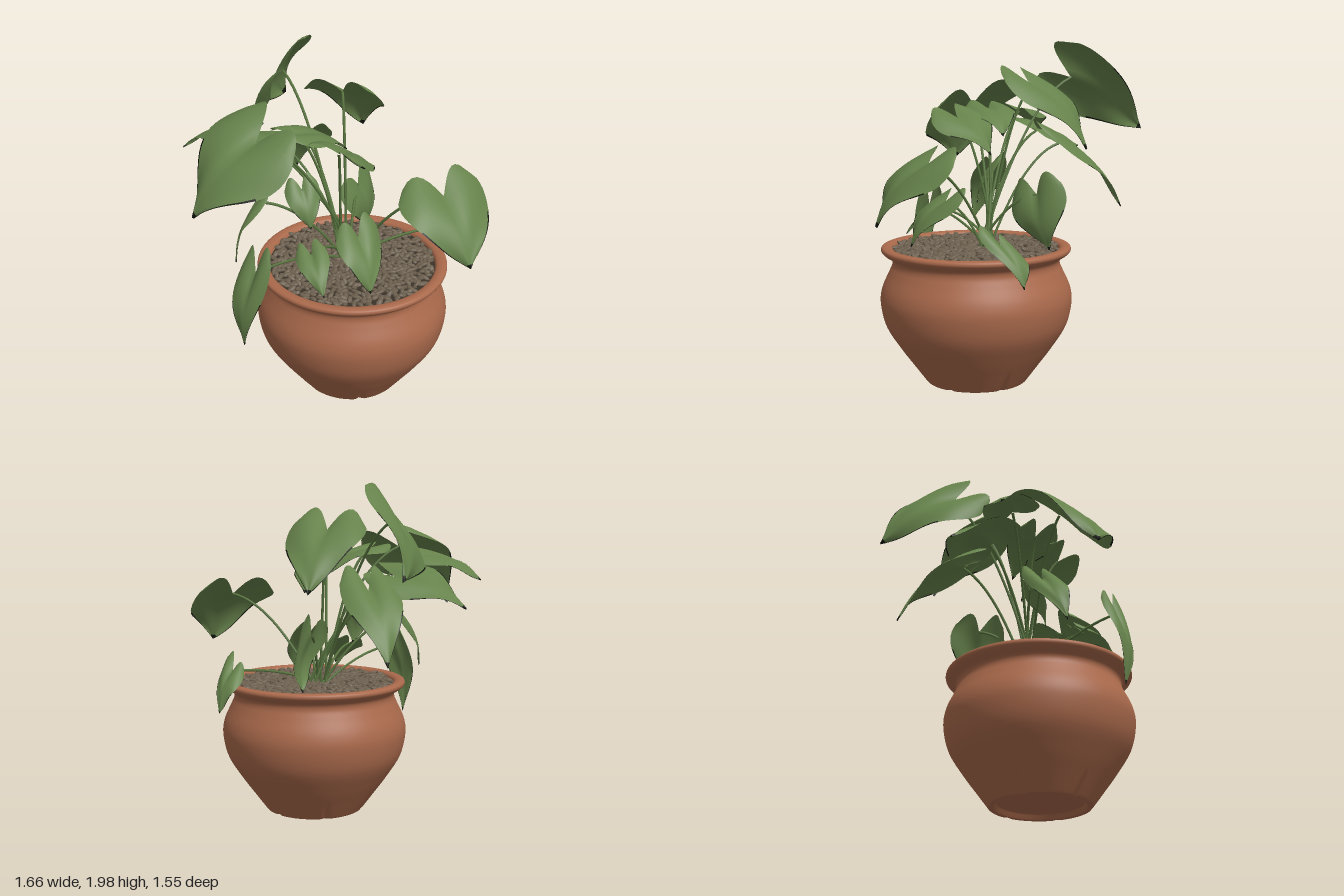
import * as THREE from 'three';
import { mergeGeometries } from 'three/addons/utils/BufferGeometryUtils.js';

const V = (a) => new THREE.Vector3(...a);
const POT_X = 0.11, POT_Z = 0.22;

function seeded(seed) {
  return () => {
    seed = (seed * 16807) % 2147483647;
    return seed / 2147483647;
  };
}

function material(name, color, side = THREE.FrontSide) {
  const m = new THREE.MeshStandardMaterial({ color, side });
  m.name = name;
  return m;
}

// Heart-shaped blade: base is the stem joint, side is the half width vector.
// Group 0 is the blade, group 1 the withered margin towards the tip.
const WIDTHS = [0.74, 0.95, 1.0, 0.97, 0.87, 0.72, 0.54, 0.35, 0.16, 0.0];
function leafGeometry(base, tip, side) {
  const along = tip.clone().sub(base);
  const len = along.length(), wide = side.length();
  const normal = new THREE.Vector3().crossVectors(along, side).normalize();
  let flip = 1;
  if (normal.y < 0) { normal.negate(); flip = -1; }
  const rows = 20, cols = 16, pos = [], blade = [], margin = [];
  for (let i = 0; i <= rows; i++) {
    const t = i / rows, f = t * (WIDTHS.length - 1), k = Math.min(Math.floor(f), WIDTHS.length - 2);
    const w = THREE.MathUtils.lerp(WIDTHS[k], WIDTHS[k + 1], f - k);
    for (let j = 0; j <= cols; j++) {
      const s = THREE.MathUtils.clamp((j - cols / 2) / (cols / 2 - 1) * 0.96, -1, 1), a = Math.abs(s);
      const back = 0.36 * (1 - t) ** 2 * Math.sin(a * 2.4);
      const lift = len * 0.13 * Math.sin(Math.PI * t)
        + wide * w * (0.16 * a - 0.32 * a * a)
        + wide * 0.08 * a * a * Math.sin(t * 8 + s * 2);
      const p = base.clone()
        .addScaledVector(along, t - back)
        .addScaledVector(side, s * w)
        .addScaledVector(normal, lift);
      pos.push(p.x, p.y, p.z);
      if (i < rows && j < cols) {
        const q = i * (cols + 1) + j, r = q + cols + 1;
        const atEdge = (j === 0 || j === cols - 1) && i > rows * 0.4;
        const index = atEdge || i === rows - 1 ? margin : blade;
        if (flip > 0) index.push(q, r, q + 1, r, r + 1, q + 1);
        else index.push(q, q + 1, r, r, q + 1, r + 1);
      }
    }
  }
  const g = new THREE.BufferGeometry();
  g.setAttribute('position', new THREE.Float32BufferAttribute(pos, 3));
  g.setIndex([...blade, ...margin]);
  g.addGroup(0, blade.length, 0);
  g.addGroup(blade.length, margin.length, 1);
  g.computeVertexNormals();
  return g;
}

// Each leaf: stem joint, tip, half width vector
const LEAVES = [
  [[-0.21, 1.77, -0.35], [-0.16, 1.47, -0.77], [0.17, 0.19, -0.09]],
  [[0.1, 1.72, -0.1], [0.28, 1.38, -0.41], [0.2, 0, 0.12]],
  [[-0.43, 1.6, 0.25], [-0.8, 1.24, 0.38], [0.13, -0.08, 0.28]],
  [[-0.3, 1.44, -0.14], [-0.64, 1.28, -0.4], [0.14, -0.07, -0.16]],
  [[-0.5, 1.55, -0.04], [-0.82, 1.42, -0.15], [-0.05, 0.03, 0.15]],
  [[-0.1, 1.38, -0.27], [-0.11, 1.0, -0.65], [0.17, 0, 0]],
  [[0.57, 1.31, 0.47], [0.67, 1.0, 0.74], [0.26, 0, -0.12]],
  [[-0.48, 0.95, 0.53], [-0.56, 0.5, 0.56], [0.08, 0.02, 0.07]],
  [[0.63, 0.89, 0.08], [0.73, 0.67, -0.05], [0.03, 0.05, 0.11]],
  [[-0.4, 1.18, 0.15], [-0.57, 0.86, 0.25], [0.05, 0.03, -0.11]],
  [[0.11, 1.05, 0.4], [0.15, 0.8, 0.6], [0.13, 0.01, -0.09]],
  [[-0.2, 1.58, 0.15], [0.1, 1.44, 0.06], [0.05, 0, 0.14]],
  [[0.01, 1.54, 0.33], [0.19, 1.34, 0.13], [0.14, -0.03, 0.13]],
  [[-0.17, 1.23, 0.12], [-0.13, 1.02, 0.22], [0.1, 0.02, -0.02]],
  [[-0.16, 0.98, 0.44], [-0.12, 0.83, 0.65], [0.09, 0.02, 0]],
  [[0.2, 1.11, -0.13], [0.27, 0.8, -0.2], [0.1, 0.05, -0.15]],
];

function pebblesGeometry() {
  const rnd = seeded(4271), parts = [], count = 680;
  const ball = new THREE.SphereGeometry(1, 8, 5);
  for (let i = 0; i < count; i++) {
    const r = 0.475 * Math.sqrt((i + 0.5) / count), a = i * 2.39996 + rnd() * 0.1;
    const o = new THREE.Object3D();
    o.position.set(r * Math.cos(a), 0.782 + rnd() * 0.008, r * Math.sin(a));
    o.rotation.set((rnd() - 0.5) * 0.8, rnd() * Math.PI, (rnd() - 0.5) * 0.8);
    o.scale.set(0.026 + rnd() * 0.009, 0.012, 0.014 + rnd() * 0.004);
    o.updateMatrix();
    parts.push(ball.clone().applyMatrix4(o.matrix));
  }
  return mergeGeometries(parts);
}

// Lathed pot with six narrow creases pressed in above the foot
function potGeometry() {
  const body = new THREE.SplineCurve([
    [0.3, 0.005], [0.37, 0.1], [0.45, 0.21], [0.53, 0.34], [0.56, 0.47],
    [0.55, 0.56], [0.51, 0.65], [0.49, 0.7], [0.497, 0.735], [0.535, 0.76], [0.553, 0.78],
    [0.548, 0.8], [0.52, 0.806], [0.49, 0.795], [0.478, 0.76],
  ].map((p) => new THREE.Vector2(...p))).getPoints(75);
  const foot = [[0, 0.03], [0.245, 0.03], [0.255, 0.025], [0.262, 0.002], [0.27, 0], [0.295, 0]]
    .map((p) => new THREE.Vector2(...p));
  const g = new THREE.LatheGeometry([...foot, ...body], 180);
  const p = g.attributes.position, step = Math.PI / 3;
  for (let i = 0; i < p.count; i++) {
    const x = p.getX(i), y = p.getY(i), z = p.getZ(i);
    if (y > 0.13 || Math.hypot(x, z) < 0.28) continue;
    const a = Math.atan2(x, z), off = Math.abs(a - Math.round(a / step) * step);
    const fade = 1 - y / 0.13;
    const k = 1 - 0.055 * fade * Math.max(0, 1 - off / (0.02 + 0.07 * fade));
    p.setXYZ(i, x * k, y, z * k);
  }
  g.computeVertexNormals();
  return g;
}

export function createModel() {
  const model = new THREE.Group();
  model.name = 'pottedPlant';
  const terracotta = material('terracotta', 0xa9694b);
  const gravel = material('gravel', 0x6c5f4e);
  const darkSoil = material('darkSoil', 0x3a3229);
  const leafGreen = material('leafGreen', 0x66824b, THREE.DoubleSide);
  const leafMargin = material('leafMargin', 0x10140c, THREE.DoubleSide);
  const stemGreen = material('stemGreen', 0x58743f);

  const add = (parent, name, geometry, mat) => {
    const mesh = new THREE.Mesh(geometry, mat);
    mesh.name = name;
    parent.add(mesh);
    return mesh;
  };

  // Pot and gravel
  const pot = new THREE.Group();
  pot.name = 'pot';
  pot.position.set(POT_X, 0, POT_Z);
  model.add(pot);
  add(pot, 'potBody', potGeometry(), terracotta);
  add(pot, 'soil', new THREE.CylinderGeometry(0.484, 0.484, 0.02, 64), darkSoil).position.y = 0.77;
  add(pot, 'pebbles', pebblesGeometry(), gravel);

  // Leaves with arching stems
  const plant = new THREE.Group();
  plant.name = 'plant';
  model.add(plant);
  const rnd = seeded(97);
  LEAVES.forEach(([b, t, s], i) => {
    const base = V(b);
    add(plant, 'leaf' + (i + 1), leafGeometry(base, V(t), V(s)), [leafGreen, leafMargin]);
    const root = new THREE.Vector3(0.05 + rnd() * 0.12, 0.77, 0.1 + rnd() * 0.12);
    const bend = root.clone().lerp(base, 0.5);
    bend.y = THREE.MathUtils.lerp(root.y, base.y, 0.85) + 0.03;
    const path = new THREE.QuadraticBezierCurve3(root, bend, base);
    add(plant, 'stem' + (i + 1), new THREE.TubeGeometry(path, 20, 0.008, 6), stemGreen);
  });
  return model;
}
